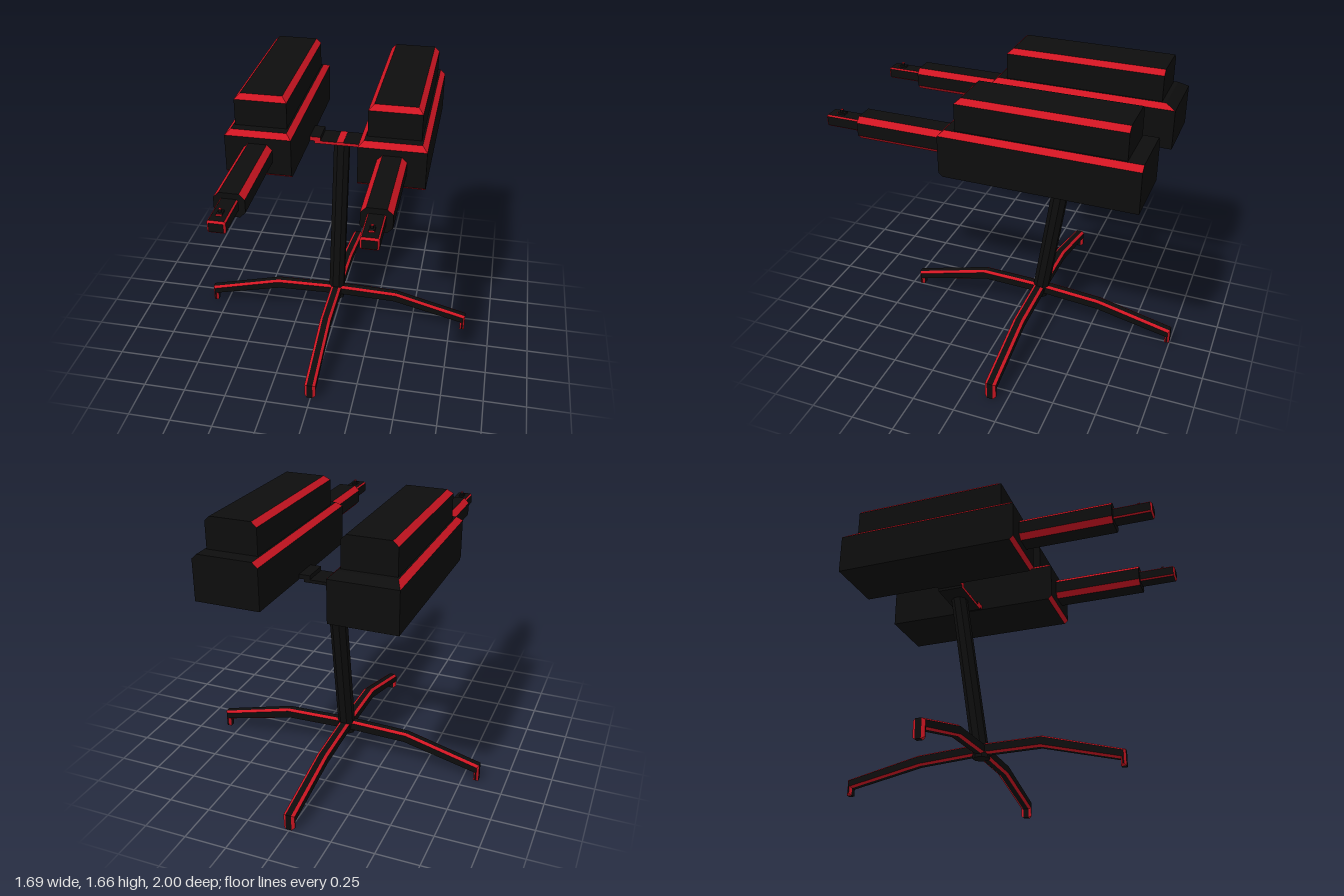
import * as THREE from 'three';

const black = new THREE.MeshStandardMaterial({ color: 0x0d0d0d });
const red = new THREE.MeshStandardMaterial({ color: 0xd01522 });

// Chamfers are the faces that point along no main axis
const isChamfer = n => Math.max(Math.abs(n.x), Math.abs(n.y), Math.abs(n.z)) < 0.92;

// Split a geometry into black faces and red faces
function painted(name, source, isRed = isChamfer) {
  const pos = (source.index ? source.toNonIndexed() : source).attributes.position;
  const parts = [[], []];
  const tri = new THREE.Triangle(), n = new THREE.Vector3();
  for (let i = 0; i < pos.count; i += 3) {
    tri.setFromAttributeAndIndices(pos, i, i + 1, i + 2);
    if (tri.getArea() < 1e-9) continue;
    tri.getNormal(n);
    parts[isRed(n) ? 1 : 0].push(...tri.a, ...tri.b, ...tri.c);
  }
  const group = new THREE.Group();
  group.name = name;
  parts.forEach((data, k) => {
    if (!data.length) return;
    const g = new THREE.BufferGeometry();
    g.setAttribute('position', new THREE.Float32BufferAttribute(data, 3));
    g.computeVertexNormals();
    const mesh = new THREE.Mesh(g, k ? red : black);
    mesh.name = name + (k ? 'Trim' : 'Faces');
    group.add(mesh);
  });
  return group;
}

// Box whose levels each have their own [y, half width, back z, front z]
function levelBox(levels) {
  const last = levels.length - 1;
  const g = new THREE.BoxGeometry(1, 1, 1, 1, last, 1);
  const p = g.attributes.position;
  for (let i = 0; i < p.count; i++) {
    const [y, hw, back, front] = levels[Math.round((p.getY(i) + 0.5) * last)];
    p.setXYZ(i, Math.sign(p.getX(i)) * hw, y, p.getZ(i) > 0 ? front : back);
  }
  return g;
}

// Chamfered bar running along z
function bar(w, h, c, y, z0, z1, bevel = 0) {
  const a = w / 2, b = h / 2;
  const pts = [[a, c - b], [a, b - c], [a - c, b], [c - a, b], [-a, b - c], [-a, c - b], [c - a, -b], [a - c, -b]];
  const g = new THREE.ExtrudeGeometry(new THREE.Shape(pts.map(q => new THREE.Vector2(...q))), {
    depth: z1 - z0 - 2 * bevel, bevelEnabled: bevel > 0, bevelSegments: 1,
    bevelThickness: bevel, bevelSize: bevel, bevelOffset: -bevel
  });
  return g.translate(0, y, z0 + bevel);
}

function box(name, size, at, material = black) {
  const mesh = new THREE.Mesh(new THREE.BoxGeometry(...size), material);
  mesh.name = name;
  mesh.position.set(...at);
  return mesh;
}

// Bent leg with its foot, extruded from the side profile with red edges
function leg(name, angle, kneeX, kneeY, endY, footY) {
  const hub = 0.235, t = 0.065, end = 0.845;
  const pts = [[0, hub], [0, hub - t], [kneeX - 0.01, kneeY - t], [end - 0.03, endY - 0.052],
    [end - 0.03, footY], [end, footY], [end, endY], [kneeX, kneeY]];
  const g = new THREE.ExtrudeGeometry(new THREE.Shape(pts.map(q => new THREE.Vector2(...q))), {
    depth: 0.034, bevelSegments: 1, bevelThickness: 0.016, bevelSize: 0.011, bevelOffset: -0.011
  });
  g.translate(0, 0, -0.017);
  const group = painted(name, g);
  group.rotation.y = angle;
  group.position.z = -0.155;
  return group;
}

function gun(name, x, rearSlope) {
  const group = new THREE.Group();
  group.name = name;
  group.position.x = x;
  group.add(
    painted('lowerHousing', levelBox([
      [1.22, 0.188, -0.86, 0.215], [1.24, 0.188, -0.86, 0.238],
      [1.457, 0.188, -0.86, 0.238], [1.485, 0.158, -0.86 + rearSlope, 0.208]]),
    n => isChamfer(n) && n.z > -0.2),
    painted('upperHousing', levelBox([
      [1.47, 0.148, -0.775, 0.153], [1.637, 0.148, -0.775, 0.153], [1.665, 0.119, -0.775, 0.123]])),
    painted('barrel', bar(0.165, 0.135, 0.03, 1.3525, 0.2, 0.78)),
    painted('muzzle', bar(0.095, 0.068, 0.008, 1.354, 0.75, 1, 0.01)),
    box('sightBase', [0.03, 0.012, 0.045], [0, 1.392, 0.92]),
    box('sightFront', [0.03, 0.01, 0.004], [0, 1.392, 0.943], red),
    box('sightPost', [0.014, 0.02, 0.014], [0, 1.404, 0.92]),
    box('sightTip', [0.014, 0.003, 0.014], [0, 1.4145, 0.92], red));
  return group;
}

export function createModel() {
  const model = new THREE.Group();
  model.name = 'twinGunMount';

  // Guns
  model.add(gun('leftGun', 0.373, 0), gun('rightGun', -0.373, 0.06));

  // Cross bracket carrying both guns, red along its front
  const bracket = new THREE.Group();
  bracket.name = 'bracket';
  const piece = (name, w, h, x, y) => painted(name,
    new THREE.BoxGeometry(w, h, 0.155).translate(x, y, -0.3125), n => n.z > 0.9);
  bracket.add(piece('bracketPlate', 0.31, 0.018, 0, 1.217));
  for (const s of [1, -1]) bracket.add(piece('bracketArm', 0.08, 0.026, s * 0.16, 1.237));
  bracket.add(box('bracketStrip', [0.04, 0.003, 0.155], [0, 1.227, -0.3125], red));
  model.add(bracket);

  // Leaning eight-sided post
  const post = new THREE.CylinderGeometry(0.051, 0.051, 1.065, 8).rotateY(Math.PI / 8);
  post.translate(0, 0.6825, 0);
  const p = post.attributes.position;
  for (let i = 0; i < p.count; i++) p.setZ(i, p.getZ(i) - 0.155 - 0.152 * (p.getY(i) - 0.17));
  model.add(painted('post', post, () => false));

  // Four legs
  model.add(
    leg('leftLeg', 0, 0.39, 0.225, 0.107, 0),
    leg('rightLeg', Math.PI, 0.39, 0.225, 0.107, 0),
    leg('frontLeg', -Math.PI / 2, 0.375, 0.243, 0.113, 0.02),
    leg('backLeg', Math.PI / 2, 0.385, 0.207, 0.103, 0.008));
  return model;
}
